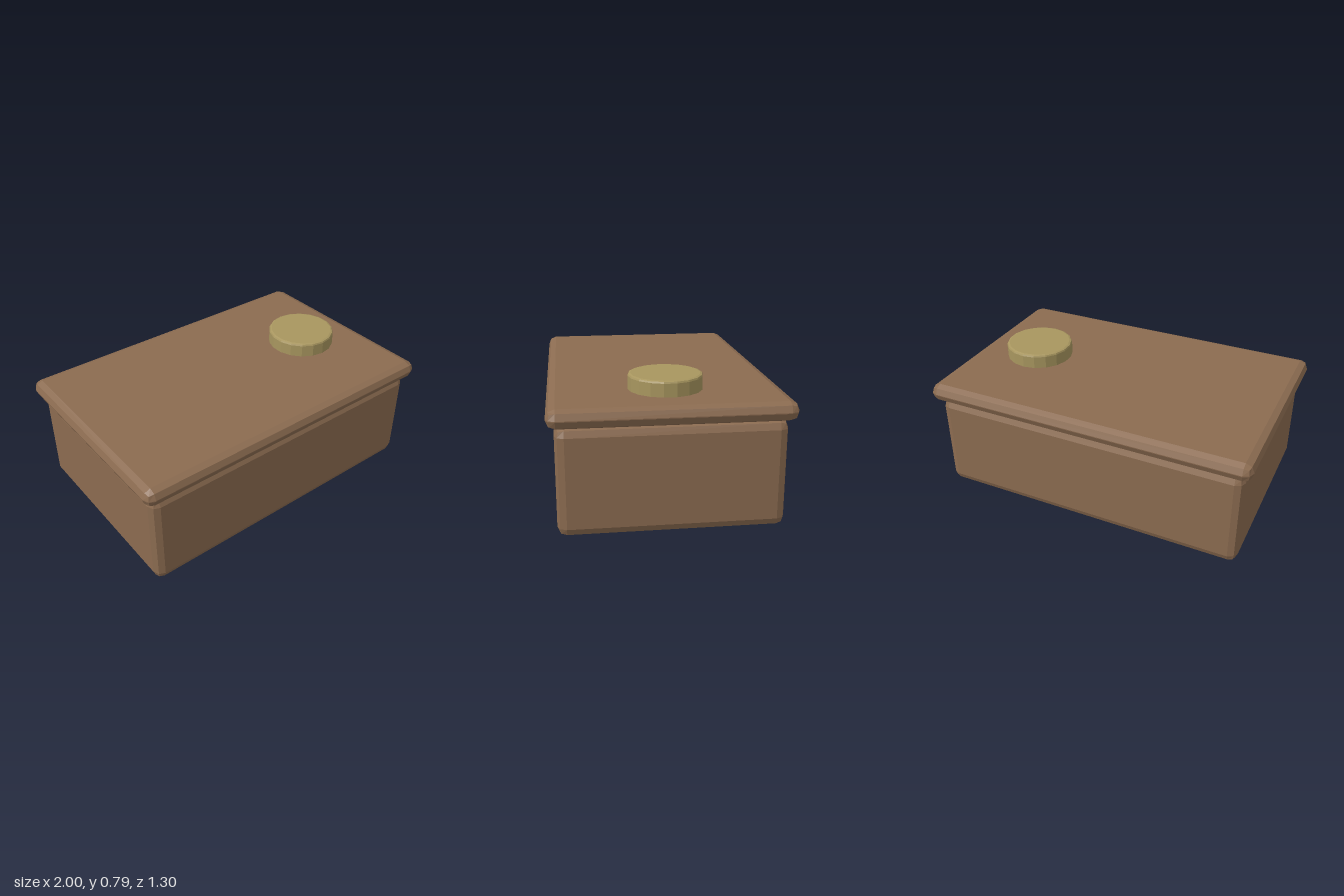
import * as THREE from 'three';
import { RoundedBoxGeometry } from 'three/addons/geometries/RoundedBoxGeometry.js';

const brown = new THREE.MeshStandardMaterial({ color: 0x8b6b50 });
brown.name = 'brown';
const brass = new THREE.MeshStandardMaterial({ color: 0xa8965f });
brass.name = 'brass';

// Gives every facet its own flat normal
function faceted(geometry) {
  const flat = geometry.index ? geometry.toNonIndexed() : geometry;
  flat.computeVertexNormals();
  return flat;
}

function addPart(group, name, geometry, material, x, y) {
  const mesh = new THREE.Mesh(faceted(geometry), material);
  mesh.name = name;
  mesh.position.set(x, y, 0);
  group.add(mesh);
}

export function createModel() {
  const group = new THREE.Group();
  group.name = 'box';

  // Case and overhanging lid, both with two-facet rounded edges
  addPart(group, 'body', new RoundedBoxGeometry(1.91, 0.6, 1.22, 1, 0.05), brown, 0, 0.3);
  addPart(group, 'lid', new RoundedBoxGeometry(2, 0.105, 1.3, 1, 0.05), brown, 0, 0.6525);

  // Round button with a softened top rim
  const profile = [[0, 0], [0.207, 0], [0.207, 0.077], [0.203, 0.086], [0.192, 0.09], [0, 0.09]]
    .map(([r, y]) => new THREE.Vector2(r, y));
  addPart(group, 'button', new THREE.LatheGeometry(profile, 18), brass, 0.606, 0.702);

  return group;
}
